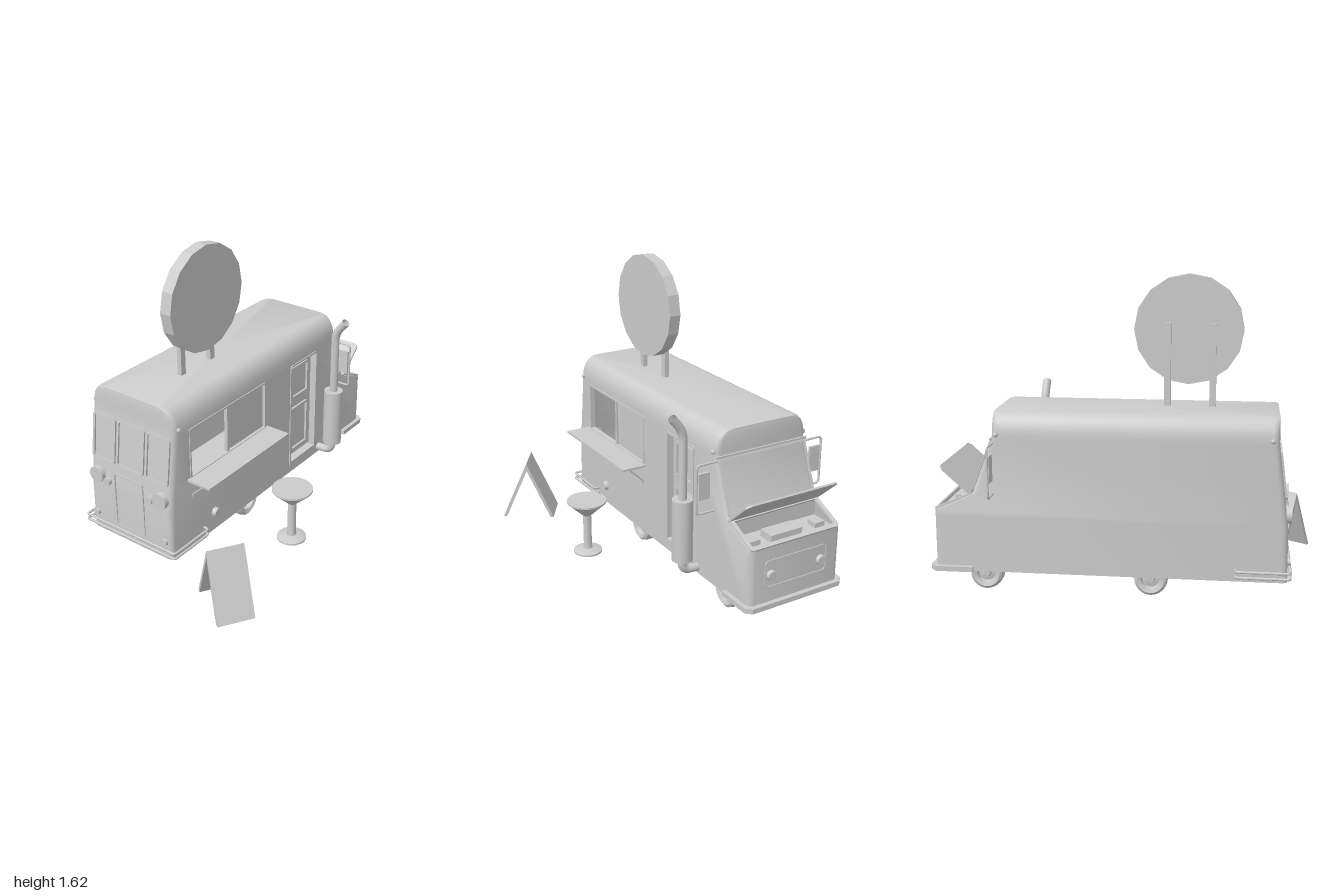
import * as THREE from 'three';
import { mergeGeometries, toCreasedNormals } from 'three/addons/utils/BufferGeometryUtils.js';

const mat = new THREE.MeshStandardMaterial({ color: 0xcccccc, side: THREE.DoubleSide });
const W = 0.277; // half width of the body

function add(parent, name, geo, x = 0, y = 0, z = 0) {
  const m = new THREE.Mesh(geo, mat);
  m.name = name;
  m.position.set(x, y, z);
  parent.add(m);
  return m;
}
const box = (p, name, w, h, d, x, y, z) => add(p, name, new THREE.BoxGeometry(w, h, d), x, y, z);
const V = (x, y, z) => new THREE.Vector3(x, y, z);

function roundRect(w, h, r, Type = THREE.Shape) {
  const s = new Type(), a = w / 2 - r, b = h / 2 - r;
  s.absarc(a, b, r, 0, Math.PI / 2);
  s.absarc(-a, b, r, Math.PI / 2, Math.PI);
  s.absarc(-a, -b, r, Math.PI, Math.PI * 1.5);
  s.absarc(a, -b, r, Math.PI * 1.5, Math.PI * 2);
  s.closePath();
  return s;
}
const slab = (s, depth) => new THREE.ExtrudeGeometry(s, { depth, bevelEnabled: false, curveSegments: 5 });

// Rounded rectangular rim lying in the XY plane
function rim(w, h, t, depth, r = 0.015) {
  const s = roundRect(w, h, r);
  s.holes.push(roundRect(w - 2 * t, h - 2 * t, Math.max(r - t, 0.003), THREE.Path));
  return slab(s, depth);
}
// Turn an XY part toward the front (+1) or back (-1) of the truck, leaning by tilt
function face(mesh, dir, tilt = 0) {
  mesh.rotation.order = 'ZYX';
  mesh.rotation.set(0, dir * Math.PI / 2, tilt);
  return mesh;
}
// Tube along straight runs joined by rounded corners
function bentTube(pts, radius, corner, segs = 60, sides = 8) {
  const path = new THREE.CurvePath();
  let from = pts[0];
  for (let i = 1; i < pts.length - 1; i++) {
    const p = pts[i];
    const a = p.clone().add(pts[i - 1].clone().sub(p).setLength(corner));
    const b = p.clone().add(pts[i + 1].clone().sub(p).setLength(corner));
    path.add(new THREE.LineCurve3(from, a));
    path.add(new THREE.QuadraticBezierCurve3(a, p, b));
    from = b;
  }
  path.add(new THREE.LineCurve3(from, pts[pts.length - 1]));
  return new THREE.TubeGeometry(path, segs, radius, sides);
}

// Body shell: rounded plan outlines stacked by height, with openings in the serving side
function bodyShell() {
  const R = 0.03, N = 3;
  const levels = [[0.11, -0.84, 0.97, W], [0.4, -0.835, 0.97, W], [0.435, -0.83, 0.97, W],
    [0.525, -0.819, 0.77, W], [0.81, -0.785, 0.66, W], [0.83, -0.783, 0.66, W]];
  const sideCount = levels.length;
  for (let i = 1; i <= 7; i++) {
    const a = (i / 7) * Math.PI / 2;
    levels.push([0.83 + 0.115 * Math.sin(a), -0.783, 0.66, W - 0.08 * (1 - Math.cos(a))]);
  }
  const rings = levels.map(([y, x0, x1, w]) => {
    const ring = [];
    [[x1 - R, w - R], [x0 + R, w - R], [x0 + R, R - w], [x1 - R, R - w]].forEach(([cx, cz], c) => {
      for (let k = 0; k <= N; k++) {
        const a = (c + k / N) * Math.PI / 2;
        ring.push(V(cx + R * Math.cos(a), y, cz + R * Math.sin(a)));
      }
    });
    return ring;
  });
  const pts = [];
  for (let k = 0; k + 1 < rings.length; k++) {
    for (let i = 0; i < 16; i++) {
      if (i === 3 && k + 1 < sideCount) continue; // serving side
      if (i === 15 && k === 2) continue; // open engine bay
      const j = (i + 1) % 16, lo = rings[k], hi = rings[k + 1];
      pts.push(lo[i], hi[i], hi[j], lo[i], hi[j], lo[j]);
    }
  }
  const top = rings[rings.length - 1];
  for (let i = 0; i < 16; i++) pts.push(top[i], V(-0.06, 0.945, 0), top[(i + 1) % 16]);
  const shell = new THREE.BufferGeometry().setFromPoints(pts);

  const flat = levels.slice(0, sideCount);
  const side = new THREE.Shape([
    ...flat.map(l => new THREE.Vector2(l[2] - R, l[0])),
    ...flat.reverse().map(l => new THREE.Vector2(l[1] + R, l[0]))]);
  for (const [x0, x1, y0, y1] of [[-0.67, -0.04, 0.525, 0.8], [0.21, 0.46, 0.145, 0.795]]) {
    side.holes.push(new THREE.Path([[x0, y0], [x0, y1], [x1, y1], [x1, y0]].map(p => new THREE.Vector2(...p))));
  }
  const panel = new THREE.ShapeGeometry(side).toNonIndexed().translate(0, 0, W);
  panel.deleteAttribute('uv');
  panel.deleteAttribute('normal');
  return toCreasedNormals(mergeGeometries([shell, panel]), 0.6);
}

function lathe(points, sides = 24) {
  const g = new THREE.LatheGeometry(points.map(p => new THREE.Vector2(...p)), sides);
  return toCreasedNormals(g.toNonIndexed(), 0.6);
}

export function createModel() {
  const model = new THREE.Group();
  model.name = 'foodTruckScene';
  const truck = new THREE.Group();
  truck.name = 'truck';
  truck.position.z = -0.212;
  model.add(truck);

  add(truck, 'body', bodyShell());
  box(truck, 'floor', 1.78, 0.012, 0.53, 0.06, 0.165, 0);

  // Serving window, shelf and brackets
  add(truck, 'windowFrame', rim(0.64, 0.285, 0.01, 0.03, 0.008), -0.355, 0.6625, W - 0.025);
  box(truck, 'windowDivider', 0.014, 0.275, 0.02, -0.36, 0.6625, W - 0.012);
  box(truck, 'windowPane', 0.31, 0.27, 0.006, -0.2, 0.6625, W - 0.016);
  box(truck, 'shelf', 0.685, 0.012, 0.145, -0.357, 0.52, W + 0.072);
  for (const x of [-0.665, -0.045]) {
    add(truck, 'shelfBracket', bentTube([V(x, 0.405, W), V(x, 0.425, W + 0.005), V(x, 0.515, W + 0.1)], 0.005, 0.005, 12, 6));
  }

  // Recessed side door with step
  add(truck, 'doorFrame', rim(0.265, 0.665, 0.011, 0.055, 0.015), 0.335, 0.47, W - 0.05);
  box(truck, 'door', 0.25, 0.6, 0.01, 0.335, 0.49, W - 0.04);
  for (const [y, h] of [[0.66, 0.2], [0.36, 0.28]]) {
    add(truck, 'doorPanelRim', rim(0.17, h, 0.014, 0.012), 0.335, y, W - 0.035);
  }
  box(truck, 'doorStep', 0.25, 0.035, 0.07, 0.335, 0.163, W - 0.03);

  // Windshield, nose, engine bay and raised hood
  face(add(truck, 'windshieldFrame', rim(0.535, 0.295, 0.012, 0.006, 0.02), 0.715, 0.667, 0), 1, 0.363);
  box(truck, 'visorLip', 0.012, 0.012, 0.55, 0.662, 0.81, 0);
  face(add(truck, 'engineBayRim', rim(0.545, 0.215, 0.022, 0.01, 0.02), 0.868, 0.476, 0), 1, 1.148);
  box(truck, 'engineBayFloor', 0.2, 0.02, 0.53, 0.86, 0.41, 0);
  box(truck, 'firewall', 0.01, 0.125, 0.54, 0.768, 0.46, 0);
  box(truck, 'engine', 0.09, 0.04, 0.19, 0.87, 0.438, 0.02);
  for (const z of [-0.2, 0.2]) box(truck, 'engineBattery', 0.06, 0.03, 0.06, 0.87, 0.432, z);
  const lid = new THREE.Shape([[-W, 0], [W, 0], [W, 0.195], [W - 0.02, 0.215], [0.02 - W, 0.215], [-W, 0.195]]
    .map(p => new THREE.Vector2(...p)));
  face(add(truck, 'hood', slab(lid, 0.01), 0.772, 0.522, 0), 1, -0.835);
  face(add(truck, 'grilleRim', rim(0.38, 0.15, 0.007, 0.006, 0.025), 0.969, 0.29, 0), 1);
  for (const z of [-0.153, 0.153]) {
    add(truck, 'headlight', new THREE.CylinderGeometry(0.024, 0.028, 0.022, 20), 0.978, 0.283, z).rotation.z = -Math.PI / 2;
  }
  const bumper = new THREE.Shape([[-0.3, 0.77], [-0.3, 0.965], [-0.27, 0.995], [0.27, 0.995], [0.3, 0.965], [0.3, 0.77],
    [0.26, 0.77], [0.26, 0.95], [-0.26, 0.95], [-0.26, 0.77]].map(([z, x]) => new THREE.Vector2(x, z)));
  add(truck, 'frontBumper', slab(bumper, 0.027), 0, 0.137, 0).rotation.x = Math.PI / 2;

  // Rear windows, door, lamps and wraparound rails
  for (const [z, w] of [[-0.18, 0.155], [0, 0.185], [0.18, 0.155]]) {
    face(add(truck, 'rearWindowFrame', rim(w, 0.26, 0.013, 0.01, 0.02), -0.802, 0.663, z), -1, -0.124);
  }
  face(add(truck, 'rearDoorRim', rim(0.2, 0.32, 0.008, 0.006), -0.836, 0.34, 0), -1);
  for (const s of [-1, 1]) {
    for (const [y, z, r] of [[0.45, 0.215, 0.045], [0.43, 0.145, 0.022], [0.21, 0.235, 0.018]]) {
      add(truck, 'rearLamp', new THREE.CylinderGeometry(r, r, 0.03, 18), -0.838, y, s * z).rotation.z = Math.PI / 2;
    }
  }
  for (const y of [0.14, 0.17]) {
    add(truck, 'rearRail', bentTube([V(-0.58, y, W), V(-0.58, y, 0.307), V(-0.852, y, 0.307),
      V(-0.852, y, -0.307), V(-0.58, y, -0.307), V(-0.58, y, -W)], 0.007, 0.014, 120));
  }

  // Mirrors on looped brackets
  for (const s of [-1, 1]) {
    add(truck, 'mirrorBracket', bentTube([V(0.655, 0.53, s * 0.25), V(0.655, 0.53, s * 0.384),
      V(0.655, 0.79, s * 0.384), V(0.655, 0.79, s * 0.25)], 0.006, 0.02));
    box(truck, 'mirror', 0.014, 0.14, 0.064, 0.655, 0.675, s * 0.342);
  }

  // Exhaust stack
  add(truck, 'exhaustPipe', bentTube([V(0.51, 0.145, 0.26), V(0.51, 0.15, 0.372),
    V(0.51, 0.92, 0.372), V(0.51, 1.0, 0.437)], 0.023, 0.05, 80, 16));
  add(truck, 'muffler', new THREE.CylinderGeometry(0.054, 0.054, 0.34, 24), 0.51, 0.385, 0.372);

  // Fuel cap and marker lamps
  add(truck, 'fuelCap', new THREE.CylinderGeometry(0.022, 0.028, 0.025, 18), -0.487, 0.22, W + 0.01).rotation.x = Math.PI / 2;
  for (const x of [-0.75, 0.635]) for (const s of [-1, 1]) {
    add(truck, 'markerLamp', new THREE.SphereGeometry(0.013, 10, 6), x, 0.835, s * W);
  }

  // Wheels
  const wheelGeo = lathe([[0, 0.03], [0.018, 0.03], [0.022, 0.02], [0.045, 0.015], [0.05, 0.036], [0.07, 0.043], [0.083, 0.034],
    [0.087, 0.015], [0.087, -0.015], [0.083, -0.034], [0.07, -0.043], [0.05, -0.036], [0.045, -0.015], [0, -0.015]].reverse(), 28);
  for (const x of [-0.147, 0.712]) for (const s of [-1, 1]) {
    add(truck, 'wheel', wheelGeo, x, 0.087, s * 0.205).rotation.x = s * Math.PI / 2;
  }

  // Round roof sign on two posts
  const sign = new THREE.CylinderGeometry(0.284, 0.284, 0.065, 16).toNonIndexed();
  sign.computeVertexNormals();
  add(model, 'roofSign', sign, -0.313, 1.34, -0.127).rotation.x = Math.PI / 2;
  for (const x of [-0.44, -0.205]) box(model, 'signPost', 0.034, 0.44, 0.026, x, 1.155, -0.172);

  // Standing table
  add(model, 'table', lathe([[0, 0], [0.08, 0], [0.08, 0.01], [0.06, 0.018], [0.026, 0.024], [0.023, 0.05],
    [0.023, 0.225], [0.034, 0.235], [0.11, 0.307], [0.11, 0.317], [0, 0.317]], 28), -0.182, 0, 0.352);

  // Folding sidewalk board
  const board = new THREE.Group();
  board.name = 'sidewalkBoard';
  board.position.set(-0.835, 0, 0.41);
  board.rotation.y = -0.575;
  const leaf = new THREE.Shape([[0, 0.345], [0.152, 0], [0.132, 0], [0, 0.3]].map(p => new THREE.Vector2(...p)));
  for (const s of [-1, 1]) {
    const m = add(board, 'boardLeaf', slab(leaf, 0.195), s * -0.0975, 0, 0);
    m.rotation.y = s * Math.PI / 2;
  }
  model.add(board);
  return model;
}
